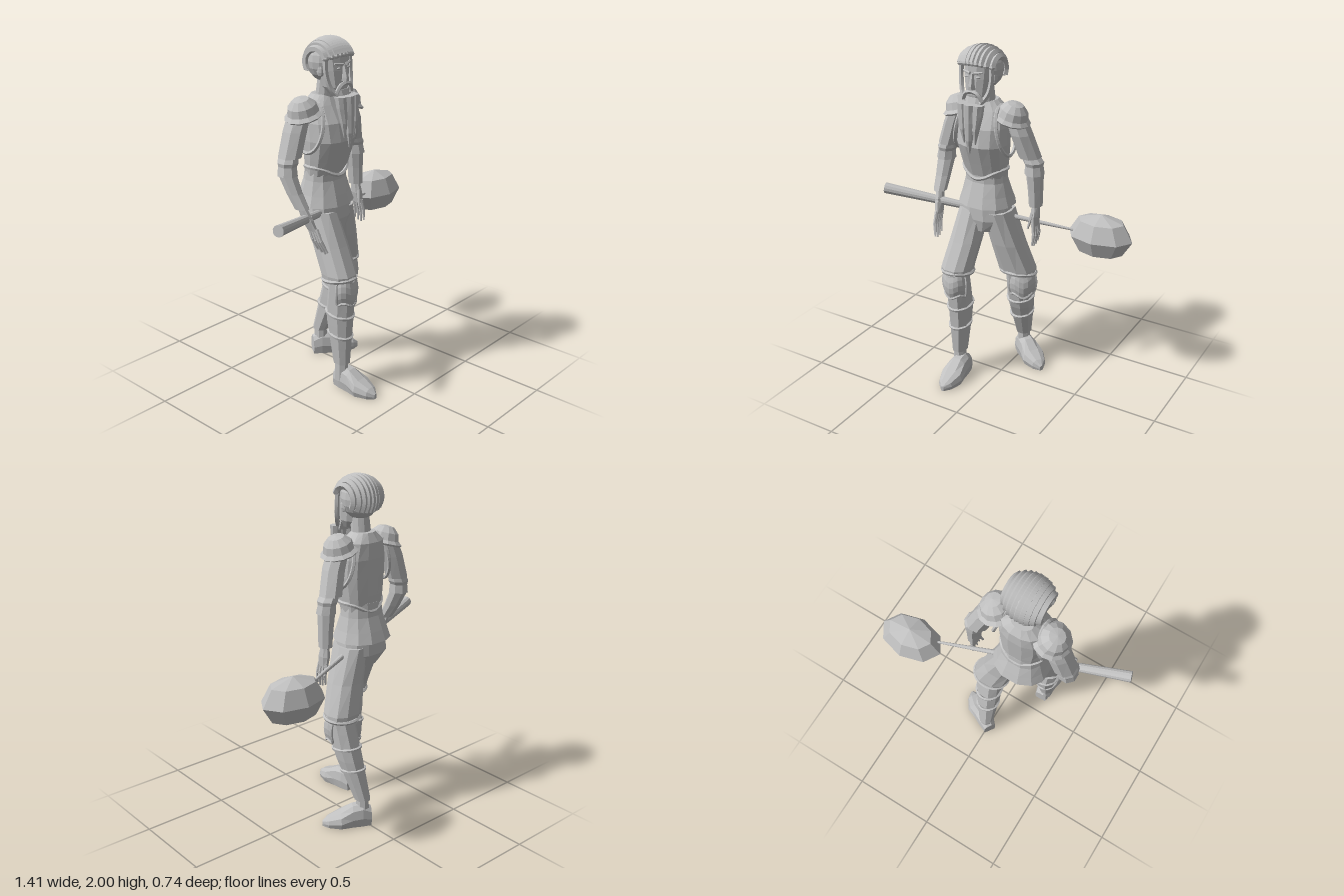
import * as THREE from 'three';

const stone = new THREE.MeshStandardMaterial({ color: 0xc0c0c0, flatShading: true, side: THREE.DoubleSide });
stone.name = 'light grey';
const CX = -0.132; // body centre line
const V = (x, y, z) => new THREE.Vector3(x, y, z);

function add(parent, name, geo) {
  const m = new THREE.Mesh(geo, stone);
  m.name = name;
  parent.add(m);
  return m;
}

// Skin over horizontal cross-sections [cx, y, cz, rx, rz]; p < 1 squares the outline
function loft(sections, n = 10, p = 1) {
  const s = sections[0][1] > sections[sections.length - 1][1] ? [...sections].reverse() : sections;
  const pos = [], idx = [];
  const pw = v => Math.sign(v) * Math.abs(v) ** p;
  for (const [cx, y, cz, rx, rz] of s)
    for (let j = 0; j < n; j++) {
      const a = (j + 0.5) / n * Math.PI * 2;
      pos.push(cx + rx * pw(Math.sin(a)), y, cz + rz * pw(Math.cos(a)));
    }
  for (let i = 0; i < s.length - 1; i++)
    for (let j = 0; j < n; j++) {
      const a = i * n + j, b = i * n + (j + 1) % n;
      idx.push(a, b, b + n, a, b + n, a + n);
    }
  const bot = s.length * n, top = bot + 1, o = (s.length - 1) * n;
  for (const e of [s[0], s[s.length - 1]]) pos.push(e[0], e[1], e[2]);
  for (let j = 0; j < n; j++) {
    const k = (j + 1) % n;
    idx.push(bot, k, j, top, o + j, o + k);
  }
  const g = new THREE.BufferGeometry();
  g.setAttribute('position', new THREE.Float32BufferAttribute(pos, 3));
  g.setIndex(idx);
  g.computeVertexNormals();
  return g;
}

// Tapered rod between two points
function rod(a, b, ra, rb, n = 6) {
  const d = b.clone().sub(a);
  const g = new THREE.CylinderGeometry(rb, ra, d.length(), n);
  g.applyQuaternion(new THREE.Quaternion().setFromUnitVectors(V(0, 1, 0), d.clone().normalize()));
  return g.translate(...a.clone().add(b).multiplyScalar(0.5).toArray());
}

function tube(pts, r, closed = false, n = 28) {
  return new THREE.TubeGeometry(new THREE.CatmullRomCurve3(pts, closed), n, r, 5, closed);
}

function ellipsoid(c, r, ws = 10, hs = 6) {
  return new THREE.SphereGeometry(1, ws, hs).scale(...r).translate(...c);
}

function ring(count, f) {
  return Array.from({ length: count }, (_, i) => f(i / count * Math.PI * 2));
}

// Curved knee plate with a raised rim, facing +z
function kneePad(parent, x, y, z, turn) {
  const pad = new THREE.Group();
  pad.name = 'kneePad';
  const at = (u, v) => {
    const a = u * 1.35, r = 0.082 - 0.014 * v * v;
    return V(r * Math.sin(a), v * 0.07 - 0.012 * Math.cos(u * 5), r * Math.cos(a));
  };
  const g = new THREE.PlaneGeometry(2, 2, 8, 4), p = g.attributes.position;
  for (let i = 0; i < p.count; i++) p.setXYZ(i, ...at(p.getX(i), p.getY(i)).toArray());
  add(pad, 'kneePlate', g);
  const rim = [];
  for (let i = 0; i < 6; i++) rim.push(at(-1 + i / 3, 1));
  for (let i = 0; i < 3; i++) rim.push(at(1, 1 - i * 2 / 3));
  for (let i = 0; i < 6; i++) rim.push(at(1 - i / 3, -1));
  for (let i = 0; i < 3; i++) rim.push(at(-1, -1 + i * 2 / 3));
  add(pad, 'kneeRim', tube(rim, 0.008, true, 36));
  pad.position.set(x, y, z);
  pad.rotation.y = turn;
  parent.add(pad);
}

function shoe(parent, x, z, turn) {
  const g = loft([[0, 0.04, 0.105], [0.05, 0.052, 0.135], [0.11, 0.058, 0.125], [0.18, 0.072, 0.085],
    [0.25, 0.045, 0.055], [0.285, 0.01, 0.03]].map(([t, w, h]) => [0, t, -h * 0.4, w, h * 0.63]), 10, 0.8);
  g.rotateX(Math.PI / 2);
  const p = g.attributes.position;
  for (let i = 0; i < p.count; i++) p.setY(i, Math.max(0, p.getY(i)));
  const m = add(parent, 'shoe', g);
  m.position.set(x, 0, z);
  m.rotation.y = turn;
}

// Trouser leg, plated greave and ankle
function leg(root, name, thigh, shin) {
  const g = new THREE.Group();
  g.name = name;
  add(g, 'trouserLeg', loft(thigh, 10, 0.85));
  const hem = thigh[thigh.length - 1];
  add(g, 'trouserHem', tube(ring(10, a => V(hem[0] + hem[3] * Math.sin(a), hem[1] + 0.012 * Math.cos(a), hem[2] + hem[4] * Math.cos(a))), 0.011, true));
  const at = y => { // blend the shin cross-sections
    const i = y > shin[1][1] ? 0 : 1, a = shin[i], b = shin[i + 1], t = (a[1] - y) / (a[1] - b[1]);
    return a.map((v, k) => v + (b[k] - v) * t);
  };
  [[0.67, 0.47], [0.47, 0.34], [0.34, 0.16]].forEach(([hi, lo]) => {
    const t = at(hi), b = at(lo);
    add(g, 'greavePlate', loft([t, at((hi + lo) / 2), b], 8, 0.85));
    if (hi < 0.6) add(g, 'greaveTrim', tube(ring(8, a => V(t[0] + t[3] * Math.sin(a), hi - 0.012 * Math.cos(a), t[2] + t[4] * Math.cos(a))), 0.01, true));
  });
  const e = shin[2];
  add(g, 'ankle', loft([[e[0], 0.17, e[2], 0.036, 0.04], [e[0], 0.05, e[2], 0.04, 0.045]], 8));
  root.add(g);
  return g;
}

// s = side (+1 left), e/w/t = elbow, wrist and fingertip, as offsets from the centre line
function arm(root, s, e, w, t) {
  const g = new THREE.Group();
  g.name = s > 0 ? 'leftArm' : 'rightArm';
  const X = o => CX + s * o;
  add(g, 'sleeve', loft([[X(0.17), 1.64, -0.07, 0.055, 0.065], [X(0.215), 1.52, -0.075, 0.064, 0.07], [X(0.257), 1.385, e[2], 0.065, 0.068]], 8));
  add(g, 'elbowCuff', loft([[X(0.262), 1.39, e[2], 0.05, 0.055], [X(e[0]), 1.36, e[2], 0.058, 0.062], [X(e[0] + 0.004), 1.34, e[2], 0.05, 0.055],
    [X(e[0] + 0.008), 1.29, e[2] + 0.004, 0.056, 0.06]], 8));
  add(g, 'bracer', loft([[X(e[0] + 0.008), 1.3, e[2], 0.05, 0.055], [X((e[0] + w[0]) / 2 + 0.005), 1.2, (e[2] + w[2]) / 2, 0.043, 0.048],
    [X(w[0]), w[1], w[2], 0.038, 0.044]], 8));
  // shoulder armour with flared brim
  const p = add(g, 'shoulderPlate', new THREE.LatheGeometry([[0, 0.085], [0.045, 0.078], [0.078, 0.045], [0.088, 0.005], [0.108, -0.012], [0.1, -0.022], [0.08, -0.012]]
    .map(q => new THREE.Vector2(...q)).reverse(), 12));
  p.position.set(X(0.165), 1.61, -0.06);
  p.rotation.z = -s * 0.28;
  // hand
  const W = V(X(w[0]), w[1], w[2]), T = V(X(t[0]), t[1], t[2]);
  const K = W.clone().lerp(T, 0.48);
  add(g, 'palm', loft([[W.x, W.y + 0.01, W.z, 0.022, 0.028], [(W.x + K.x) / 2, (W.y + K.y) / 2, (W.z + K.z) / 2, 0.024, 0.04], [K.x, K.y, K.z, 0.016, 0.036]], 8));
  for (let i = 0; i < 4; i++) {
    const o = (i - 1.5) * 0.019, l = 1 - 0.09 * Math.abs(i - 1.7);
    const a = K.clone().add(V(0, 0.015, o)), b = K.clone().lerp(T, l).add(V(0, 0, o * 1.2));
    const m = a.clone().lerp(b, 0.5).add(V(s * 0.008, 0, 0));
    add(g, 'finger', rod(a, m, 0.011, 0.01));
    add(g, 'finger', rod(m, b, 0.01, 0.005));
  }
  const th = W.clone().lerp(K, 0.35).add(V(-s * 0.005, 0, 0.025));
  add(g, 'thumb', rod(th, th.clone().add(V(-s * 0.02, -0.09, 0.02)), 0.014, 0.006));
  root.add(g);
}

function head(root) {
  const g = new THREE.Group();
  g.name = 'head';
  add(g, 'neck', loft([[CX, 1.62, -0.06, 0.06, 0.055], [CX, 1.8, -0.04, 0.05, 0.05]], 10));
  add(g, 'face', loft([[CX, 1.70, 0.035, 0.04, 0.04], [CX, 1.74, 0.015, 0.066, 0.068], [CX, 1.83, 0, 0.08, 0.083], [CX, 1.9, -0.01, 0.086, 0.09], [CX, 1.95, -0.02, 0.07, 0.075]], 12, 0.85));
  add(g, 'nose', loft([[CX, 1.775, 0.08, 0.02, 0.03], [CX, 1.795, 0.085, 0.017, 0.026], [CX, 1.86, 0.075, 0.009, 0.014]], 6));
  // hair: skull cap and ridged strands running front to back
  add(g, 'hairCap', ellipsoid([CX, 1.87, -0.045], [0.108, 0.117, 0.108], 16, 10));
  for (let i = -4; i <= 4; i++) {
    const x = i * 0.0245, k = Math.sqrt(1 - (x / 0.13) ** 2), pts = [];
    for (let j = 0; j <= 8; j++) {
      const a = 0.42 + j / 8 * 3.3;
      pts.push(V(CX + x, 1.868 + 0.112 * k * Math.sin(a), -0.027 + 0.113 * k * Math.cos(a)));
    }
    add(g, 'hairStrand', tube(pts, 0.02));
    add(g, 'hairCurl', ellipsoid(pts[0].toArray(), [0.019, 0.016, 0.02], 6, 4));
  }
  for (const s of [-1, 1]) {
    const X = o => CX + s * o;
    add(g, 'brow', rod(V(X(0.012), 1.862, 0.084), V(X(0.06), 1.87, 0.07), 0.009, 0.006));
    add(g, 'eye', ellipsoid([X(0.034), 1.842, 0.076], [0.016, 0.007, 0.008], 8, 4));
    add(g, 'ear', ellipsoid([X(0.088), 1.83, -0.01], [0.012, 0.035, 0.022], 6, 5));
    add(g, 'sideburn', tube([V(X(0.094), 1.9, 0.035), V(X(0.094), 1.82, 0.04), V(X(0.08), 1.75, 0.055), V(X(0.05), 1.7, 0.08)], 0.014));
    add(g, 'moustache', tube([V(X(0), 1.765, 0.09), V(X(0.035), 1.755, 0.09), V(X(0.06), 1.715, 0.08)], 0.012, false, 10));
    add(g, 'sideBeardLock', loft([[X(0.035), 1.48, 0.115, 0.004, 0.005], [X(0.04), 1.56, 0.115, 0.02, 0.022], [X(0.046), 1.64, 0.105, 0.03, 0.03], [X(0.05), 1.70, 0.1, 0.032, 0.034]], 8));
  }
  add(g, 'middleBeardLock', loft([[CX, 1.42, 0.118, 0.003, 0.004], [CX, 1.5, 0.122, 0.021, 0.02], [CX, 1.6, 0.118, 0.029, 0.027], [CX, 1.70, 0.108, 0.034, 0.036]], 8));
  add(g, 'chinBeard', loft([[CX, 1.68, 0.075, 0.06, 0.03], [CX, 1.73, 0.055, 0.062, 0.03]], 8));
  root.add(g);
}

export function createModel() {
  const root = new THREE.Group();
  root.name = 'armouredFighter';

  // torso
  add(root, 'tunic', loft([[CX, 1.08, -0.067, 0.168, 0.148], [CX, 1.14, -0.066, 0.148, 0.128], [CX, 1.22, -0.064, 0.128, 0.1], [CX, 1.3, -0.06, 0.118, 0.095]], 12, 0.9));
  add(root, 'breastplate', loft([[CX, 1.25, -0.06, 0.122, 0.09], [CX, 1.34, -0.047, 0.135, 0.108], [CX, 1.45, -0.03, 0.148, 0.13], [CX, 1.55, -0.042, 0.145, 0.122],
    [CX, 1.64, -0.068, 0.12, 0.09], [CX, 1.69, -0.07, 0.065, 0.06]], 14, 0.85));
  add(root, 'breastplateTrim', tube(ring(16, a => V(CX + 0.132 * Math.sin(a), 1.3 - 0.05 * Math.cos(a) ** 4, -0.053 + 0.1 * Math.cos(a))), 0.011, true, 40));
  for (const s of [-1, 1])
    add(root, 'armholeTrim', tube(ring(12, a => V(CX + s * (0.132 - 0.03 * Math.sin(a)), 1.53 + 0.14 * Math.sin(a), -0.045 + 0.095 * Math.cos(a))), 0.011, true, 32));
  head(root);
  arm(root, 1, [0.28, 0, -0.1], [0.297, 1.1, -0.1], [0.308, 0.86, -0.075]);
  arm(root, -1, [0.272, 0, -0.075], [0.268, 1.12, 0.02], [0.215, 0.87, 0.13]);

  // hips and legs
  add(root, 'hips', loft([[CX, 1.12, -0.06, 0.14, 0.12], [CX, 1.0, -0.06, 0.155, 0.125], [CX, 0.93, -0.05, 0.1, 0.1]], 12, 0.9));
  const right = leg(root, 'rightLeg',
    [[-0.2, 1.05, -0.045, 0.078, 0.105], [-0.207, 0.87, 0.045, 0.088, 0.1], [-0.22, 0.72, 0.12, 0.09, 0.1], [-0.22, 0.69, 0.122, 0.087, 0.095]],
    [[-0.215, 0.68, 0.14, 0.068, 0.075], [-0.21, 0.45, 0.115, 0.068, 0.083], [-0.212, 0.16, 0.13, 0.043, 0.05]]);
  kneePad(right, -0.215, 0.625, 0.15, 0);
  shoe(right, -0.197, 0.082, 0.03);
  const left = leg(root, 'leftLeg',
    [[-0.055, 1.05, -0.06, 0.085, 0.11], [0, 0.85, -0.08, 0.098, 0.098], [0.045, 0.68, -0.11, 0.112, 0.092], [0.05, 0.655, -0.11, 0.108, 0.088]],
    [[0.06, 0.68, -0.1, 0.075, 0.072], [0.047, 0.44, -0.155, 0.075, 0.085], [0.015, 0.16, -0.25, 0.044, 0.048]]);
  kneePad(left, 0.08, 0.59, -0.108, 0.6);
  shoe(left, -0.025, -0.28, 0.98);

  // heavy mallet carried across the body
  const mallet = new THREE.Group();
  mallet.name = 'mallet';
  add(mallet, 'handle', rod(V(-0.7, 1.112, 0.148), V(0.4, 0.95, -0.21), 0.032, 0.006, 12));
  add(mallet, 'malletHead', ellipsoid([0.505, 0.933, -0.245], [0.195, 0.132, 0.13], 8, 4));
  root.add(mallet);
  return root;
}
